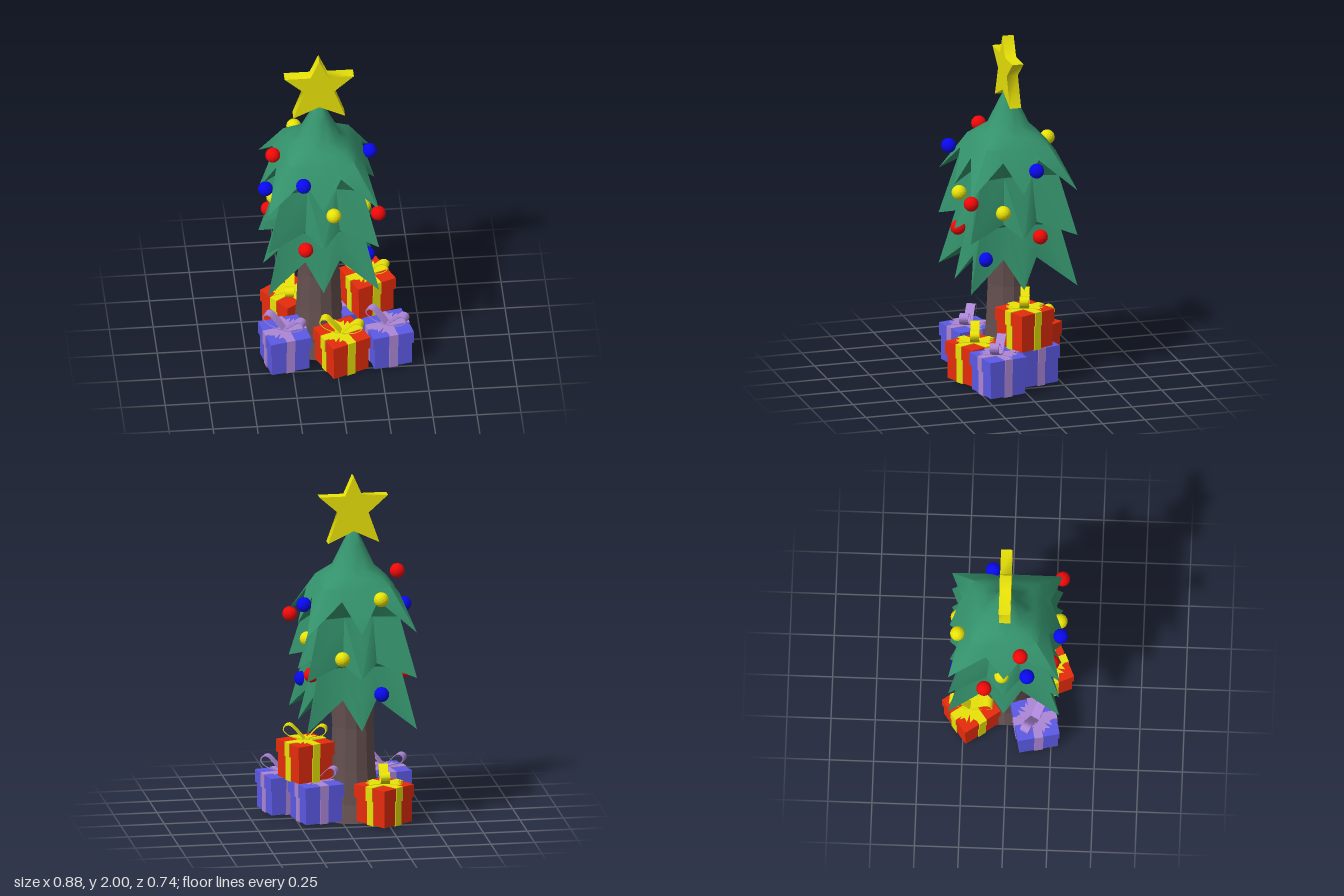
import * as THREE from 'three';
import { toCreasedNormals } from 'three/addons/utils/BufferGeometryUtils.js';

const mat = (color, opts = {}) => new THREE.MeshStandardMaterial({ color, ...opts });
const RED = 0xe62c0c, YELLOW = 0xe8e208, BLUE = 0x5c5ae6, LILAC = 0xac86d6, GREEN = 0x34926c;

function add(parent, name, geometry, material, x = 0, y = 0, z = 0) {
  const mesh = new THREE.Mesh(geometry, material);
  mesh.name = name;
  mesh.position.set(x, y, z);
  parent.add(mesh);
  return mesh;
}

// One layer of branches: rings [y, radius at side, at notch, at corner], a zigzag hem,
// then an underside ring that meets the layer below or the trunk
function tierGeometry(rings, tipY, notchY, notchR, under) {
  const N = 16, pos = [], idx = [];
  const ring = (f) => {
    for (let i = 0; i < N; i++) {
      const a = (i / N) * Math.PI * 2, [r, y] = f(i);
      pos.push(Math.sin(a) * r, y, Math.cos(a) * r);
    }
  };
  const plainRing = ([y, side, notch = side, corner = side]) =>
    ring((i) => [i % 2 ? notch : i % 4 ? corner : side, y]);
  rings.forEach(plainRing);
  ring((i) => (i % 2 ? [notchR, notchY] : [i % 4 ? 0.446 : 0.317, tipY]));
  plainRing(under);
  for (let j = 0; j <= rings.length; j++) {
    for (let i = 0; i < N; i++) {
      const a = j * N + i, b = j * N + ((i + 1) % N), c = a + N, d = b + N;
      // split each quad so that ridges run straight down to the tips
      if (i % 2) idx.push(a, c, d, a, d, b);
      else idx.push(a, c, b, b, c, d);
    }
  }
  const g = new THREE.BufferGeometry();
  g.setAttribute('position', new THREE.Float32BufferAttribute(pos, 3));
  g.setIndex(idx);
  return toCreasedNormals(g, 0.8);
}

// Ribbon loop: a teardrop band with a little thickness
function loopGeometry(width) {
  const curve = new THREE.SplineCurve([
    [0, 0], [0.045, 0.052], [0.085, 0.088], [0.118, 0.08], [0.122, 0.05], [0.08, 0.017], [0, 0],
  ].map(([x, y]) => new THREE.Vector2(x, y)));
  const points = curve.getPoints(24).slice(0, -1);
  const shape = new THREE.Shape(points);
  shape.holes.push(new THREE.Path(points.map((p) =>
    new THREE.Vector2(0.08 + (p.x - 0.08) * 0.85, 0.053 + (p.y - 0.053) * 0.82))));
  const g = new THREE.ExtrudeGeometry(shape, { depth: width, bevelEnabled: false });
  return toCreasedNormals(g.translate(0, 0, -width / 2), 0.7);
}

// Ribbon tail with a notched end, lying flat
function tailGeometry() {
  const s = new THREE.Shape([[0, -0.012], [0.105, -0.022], [0.085, 0], [0.105, 0.022], [0, 0.012]]
    .map(([x, y]) => new THREE.Vector2(x, y)));
  return new THREE.ExtrudeGeometry(s, { depth: 0.003, bevelEnabled: false }).rotateX(-Math.PI / 2);
}

function gift(color, ribbonColor, x, y, z, turn) {
  const g = new THREE.Group();
  g.name = 'gift';
  g.position.set(x, y, z);
  g.rotation.y = turn;
  const paper = mat(color), ribbon = mat(ribbonColor);
  const W = 0.05, body = 0.222, lid = 0.24, e = 0.008;
  add(g, 'box', new THREE.BoxGeometry(body, 0.15, body), paper, 0, 0.09, 0);
  add(g, 'lid', new THREE.BoxGeometry(lid, 0.075, lid), paper, 0, 0.195, 0);
  for (const r of [0, Math.PI / 2]) {
    add(g, 'boxRibbon', new THREE.BoxGeometry(W, 0.15 + e, body + e), ribbon, 0, 0.09, 0).rotation.y = r;
    add(g, 'lidRibbon', new THREE.BoxGeometry(W, 0.075 + e, lid + e), ribbon, 0, 0.195, 0).rotation.y = r;
  }
  // Bow: two loops on one diagonal, tails on the other
  const bow = new THREE.Group();
  bow.name = 'bow';
  bow.position.y = 0.238;
  bow.rotation.y = -0.72;
  g.add(bow);
  for (const r of [0, Math.PI]) {
    add(bow, 'bowLoop', loopGeometry(0.052), ribbon).rotation.y = r;
    for (const spread of [-0.3, 0.3]) {
      add(bow, 'bowTail', tailGeometry(), ribbon).rotation.y = r + Math.PI / 2 + spread;
    }
  }
  return g;
}

export function createModel() {
  const model = new THREE.Group();
  model.name = 'decoratedTree';

  const tree = new THREE.Group();
  tree.name = 'tree';
  tree.position.set(-0.08, 0, -0.017);
  model.add(tree);

  // Trunk
  const profile = [[0, 0], [0.175, 0], [0.145, 0.1], [0.128, 0.3], [0.118, 0.54], [0.13, 0.75], [0.13, 0.82]]
    .map(([r, y]) => new THREE.Vector2(r, y));
  add(tree, 'trunk', new THREE.LatheGeometry(profile, 12), mat(0x64504f, { flatShading: true }));

  // Branch layers, top to bottom, each starting where the one above tucks in
  const leaf = mat(GREEN, { side: THREE.DoubleSide });
  const upperJoin = [1.22, 0.205, 0.215, 0.325], lowerJoin = [0.93, 0.215, 0.225, 0.33];
  add(tree, 'topBranches', tierGeometry(
    [[1.695, 0.002], [1.68, 0.022], [1.6, 0.062], [1.475, 0.12, 0.122, 0.125],
      [1.43, 0.167, 0.175, 0.195], [1.385, 0.207, 0.224, 0.262]],
    1.145, 1.325, 0.272, upperJoin), leaf);
  add(tree, 'middleBranches', tierGeometry([upperJoin], 0.88, 0.955, 0.255, lowerJoin), leaf);
  add(tree, 'lowerBranches', tierGeometry([lowerJoin], 0.58, 0.745, 0.255, [0.76, 0.12]), leaf);

  // Star, softly shaded round its inner corners
  const half = [[0, 2], [0.05, 1.885], [0.197, 1.885], [0.085, 1.785], [0.147, 1.61], [0, 1.68]];
  const outline = [...half, ...half.slice(1, 5).reverse().map(([x, y]) => [-x, y])];
  const star = new THREE.Shape(outline.map(([x, y]) => new THREE.Vector2(x, y)));
  const starGeometry = new THREE.ExtrudeGeometry(star, { depth: 0.066, bevelEnabled: false });
  add(tree, 'star', toCreasedNormals(starGeometry, 1.45), mat(YELLOW), 0, 0, -0.033);

  // Baubles
  const ball = new THREE.IcosahedronGeometry(0.043, 2);
  const baubles = [
    ['redBauble', 0xf00808, [[-0.35, 1.405, 0.075], [0.23, 1.12, 0.295], [-0.178, 0.853, 0.25],
      [0.178, 0.87, -0.13], [-0.357, 0.878, -0.13]]],
    ['blueBauble', 0x0808f0, [[-0.195, 1.34, 0.3], [-0.395, 1.2, 0.115], [0.215, 1.275, -0.097],
      [0.178, 0.765, 0.195], [-0.2, 0.78, -0.287]]],
    ['yellowBauble', YELLOW, [[-0.335, 1.035, -0.03], [-0.022, 1.112, 0.29], [0.165, 1.025, 0.085],
      [-0.198, 1.335, -0.285], [0.025, 0.995, -0.29]]],
  ];
  for (const [name, color, places] of baubles) {
    const m = mat(color, { flatShading: true });
    for (const p of places) add(model, name, ball, m, ...p);
  }

  // Gifts around the trunk, one stacked
  model.add(
    gift(BLUE, LILAC, 0.295, 0, 0.153, 0.22),
    gift(BLUE, LILAC, -0.29, 0, 0.157, 0.22),
    gift(BLUE, LILAC, 0.142, 0, -0.085, 0.25),
    gift(RED, YELLOW, 0.03, 0, 0.212, 0.41),
    gift(RED, YELLOW, -0.228, 0, -0.207, 0.62 - Math.PI / 2),
    gift(RED, YELLOW, 0.196, 0.23, -0.032, 0.4),
  );
  return model;
}
